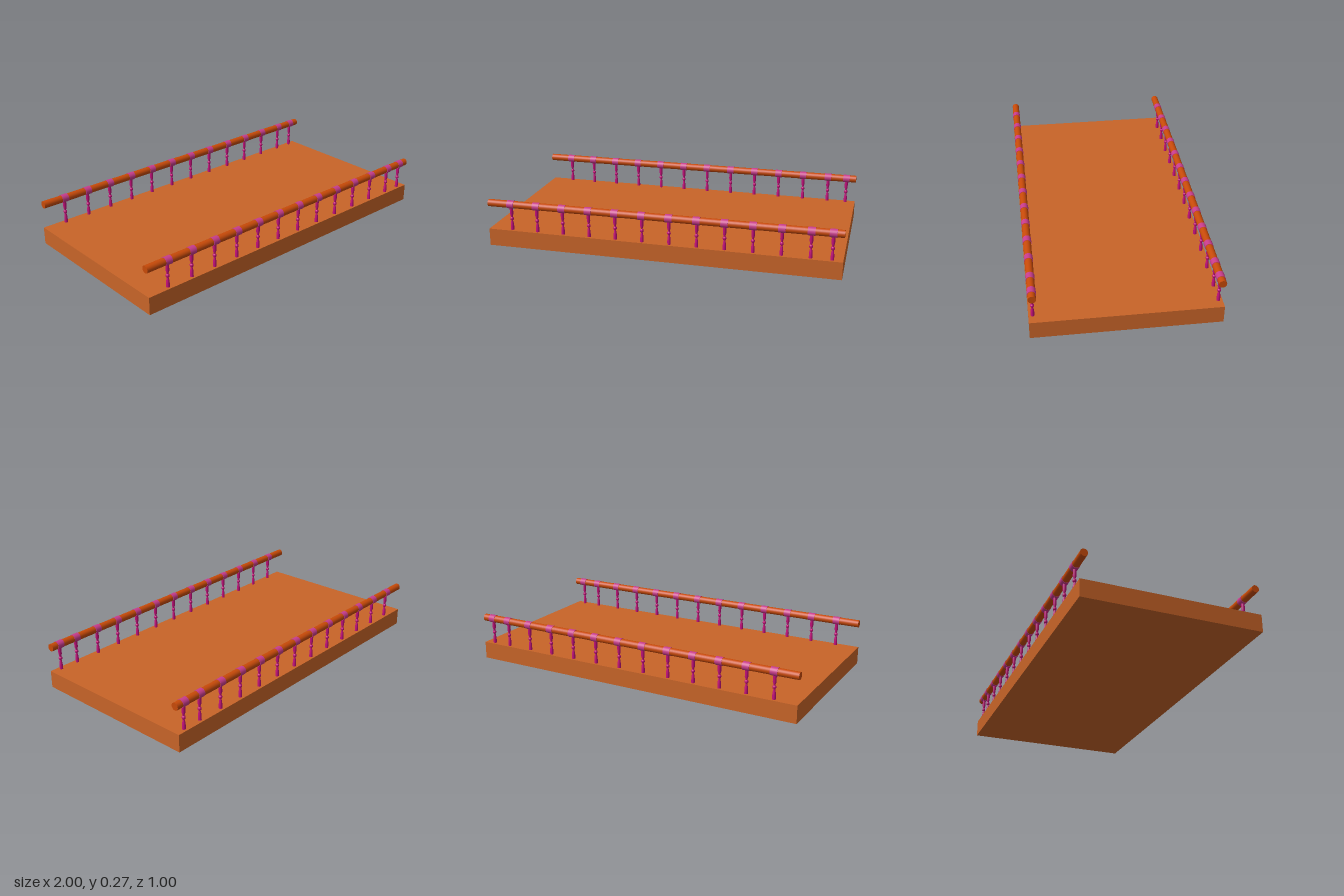
import * as THREE from 'three';

const RAIL_Y = 0.251, RAIL_Z = 0.478;

export function createModel() {
  const model = new THREE.Group();
  model.name = 'footbridge';
  const deckMat = new THREE.MeshStandardMaterial({ color: 0xc86428 });
  const railMat = new THREE.MeshStandardMaterial({ color: 0xc84a08 });
  const postMat = new THREE.MeshStandardMaterial({ color: 0xc4107c });
  const collarMat = new THREE.MeshStandardMaterial({ color: 0xc83c8c });

  const add = (parent, name, geometry, material, x, y, z) => {
    const mesh = new THREE.Mesh(geometry, material);
    mesh.name = name;
    mesh.position.set(x, y, z);
    parent.add(mesh);
  };

  // Deck slab
  add(model, 'deck', new THREE.BoxGeometry(2, 0.1, 1), deckMat, 0, 0.05, 0);

  // Turned baluster with a ring at mid-height
  const profile = [
    [0.0095, 0.1], [0.0095, 0.122], [0.008, 0.138], [0.005, 0.154], [0.005, 0.158],
    [0.0085, 0.159], [0.01, 0.163], [0.01, 0.169], [0.0085, 0.173], [0.005, 0.174],
    [0.005, 0.178], [0.0095, 0.194], [0.0095, 0.235],
  ].map(([r, y]) => new THREE.Vector2(r, y));
  const balusterGeo = new THREE.LatheGeometry(profile, 16);
  const railGeo = new THREE.CylinderGeometry(0.021, 0.021, 2, 24).rotateZ(Math.PI / 2);
  const collarGeo = new THREE.CylinderGeometry(0.0232, 0.0232, 0.04, 24).rotateZ(Math.PI / 2);

  // Evenly spaced posts, with a closer one at the left end
  const xs = Array.from({ length: 12 }, (_, i) => -0.865 + i * 0.154);
  xs.push(0.942);

  // Railing along each long side
  for (const side of [1, -1]) {
    const railing = new THREE.Group();
    railing.name = side > 0 ? 'frontRailing' : 'backRailing';
    railing.position.z = side * RAIL_Z;
    add(railing, 'handrail', railGeo, railMat, 0, RAIL_Y, 0);
    for (const x of xs) {
      add(railing, 'baluster', balusterGeo, postMat, x, 0, 0);
      add(railing, 'railCollar', collarGeo, collarMat, x, RAIL_Y, 0);
    }
    model.add(railing);
  }
  return model;
}
